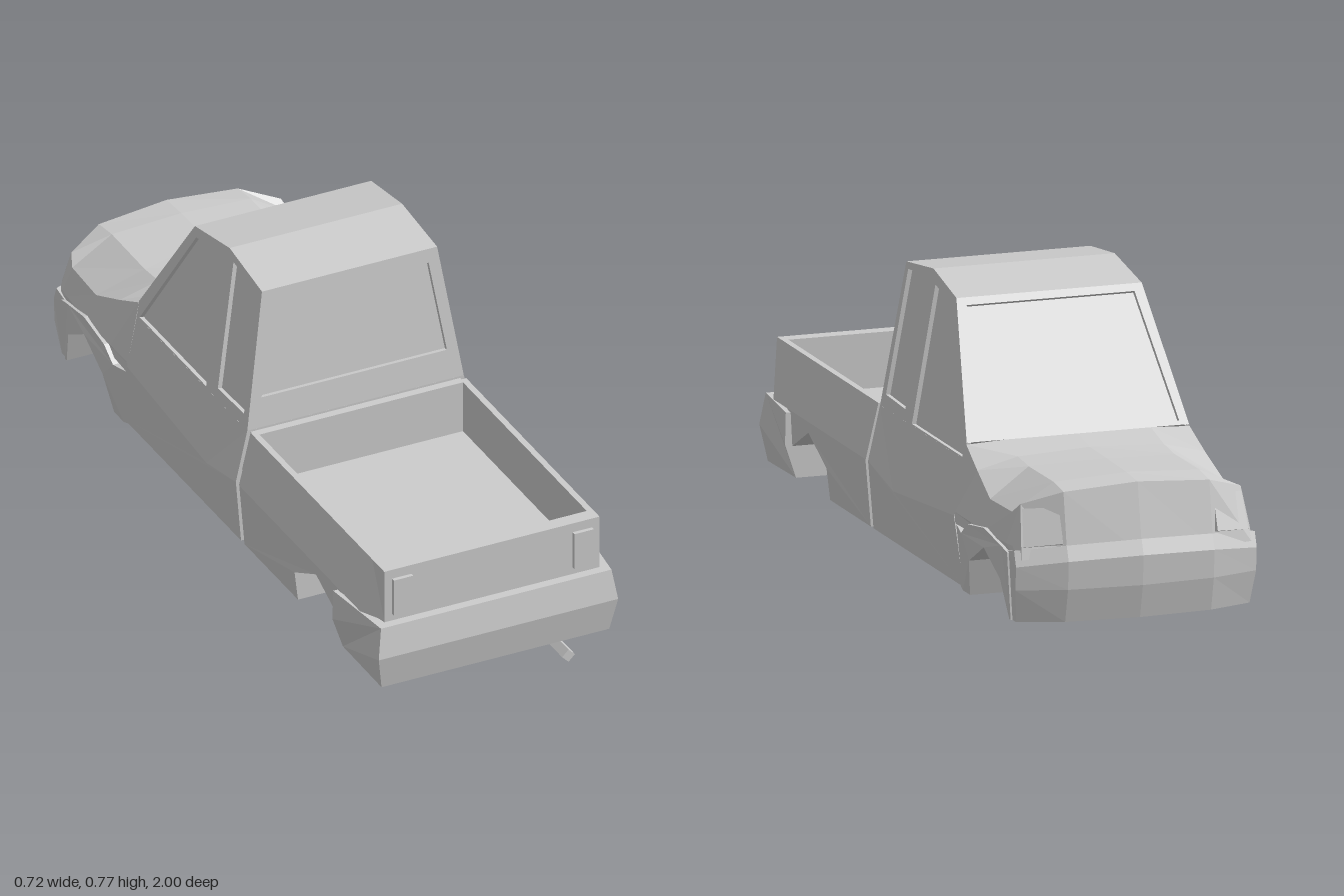
import * as THREE from 'three';

const material = new THREE.MeshStandardMaterial({ color: 0xcccccc, flatShading: true, side: THREE.DoubleSide });
const V = (x, y, z) => new THREE.Vector3(x, y, z);

function mesh(name, geometry) {
  const m = new THREE.Mesh(geometry, material);
  m.name = name;
  return m;
}

// Loft symmetric about x = 0: half-sections run from the middle outwards, points are [z, y, x]
function mirrorLoft(half) {
  const inner = half[0][0][2] === 0 ? half.slice(1) : half;
  let sections = [
    ...inner.slice().reverse().map(s => s.map(([z, y, x]) => V(-x, y, z))),
    ...half.map(s => s.map(([z, y, x]) => V(x, y, z))),
  ];
  const flat = s => s.map(p => new THREE.Vector2(-p.z, p.y));
  if (THREE.ShapeUtils.area(flat(sections[inner.length])) < 0) sections = sections.map(s => s.slice().reverse());
  const pos = [];
  const tri = (...pts) => pts.forEach(p => pos.push(p.x, p.y, p.z));
  for (let s = 0; s + 1 < sections.length; s++) {
    const a = sections[s], b = sections[s + 1];
    a.forEach((p, i) => {
      const j = (i + 1) % a.length;
      tri(p, a[j], b[j]);
      tri(p, b[j], b[i]);
    });
  }
  const first = sections[0], last = sections[sections.length - 1];
  for (const [i, j, k] of THREE.ShapeUtils.triangulateShape(flat(last), [])) {
    tri(last[i], last[j], last[k]);
    tri(first[i], first[k], first[j]);
  }
  const g = new THREE.BufferGeometry();
  g.setAttribute('position', new THREE.Float32BufferAttribute(pos, 3));
  g.computeVertexNormals();
  return g;
}
const slab = (name, pts) => mesh(name, mirrorLoft([pts]));

// Flat panel through 3D corners, with window openings and glass set back by its depth
function panel(name, outer, holes, outward, depth = 0.012, lift = 0) {
  const u = outer[1].clone().sub(outer[0]).normalize();
  const n = u.clone().cross(outer[2].clone().sub(outer[0])).normalize();
  if (n.dot(outward) < 0) n.negate();
  const v = n.clone().cross(u);
  const to2D = pts => pts.map(p => {
    const d = p.clone().sub(outer[0]);
    return new THREE.Vector2(d.dot(u), d.dot(v));
  });
  const place = new THREE.Matrix4().makeBasis(u, v, n)
    .setPosition(outer[0].clone().addScaledVector(n, lift - depth));
  const shape = new THREE.Shape(to2D(outer));
  shape.holes = holes.map(h => new THREE.Path(to2D(h)));
  const group = new THREE.Group();
  group.name = name;
  group.add(mesh(name + 'Frame', new THREE.ExtrudeGeometry(shape, { depth, bevelEnabled: false }).applyMatrix4(place)));
  for (const h of holes) {
    group.add(mesh(name + 'Glass', new THREE.ShapeGeometry(new THREE.Shape(to2D(h))).applyMatrix4(place)));
  }
  return group;
}

function box(name, w, h, d, x, y, z) {
  const m = mesh(name, new THREE.BoxGeometry(w, h, d));
  m.position.set(x, y, z);
  return m;
}

function createCab() {
  const cab = new THREE.Group();
  cab.name = 'cab';
  const sideX = y => 0.312 - 0.155 * (y - 0.365);
  // Doors and rocker
  cab.add(slab('lowerDoors', [[0.14, 0.04, 0.33], [0.14, 0.22, 0.345], [-0.04, 0.18, 0.341], [-0.5, 0.22, 0.34], [-0.545, 0.04, 0.33]]));
  cab.add(slab('upperDoors', [[0.14, 0.22, 0.345], [0.14, 0.366, 0.312], [-0.5, 0.366, 0.312], [-0.5, 0.22, 0.34], [-0.04, 0.18, 0.341]]));
  // Sides with two windows each
  const profile = [[0.14, 0.365], [0.105, 0.75], [-0.09, 0.775], [-0.28, 0.74], [-0.5, 0.41], [-0.5, 0.365]];
  const quarter = [[0.11, 0.4], [0.085, 0.735], [-0.06, 0.75], [-0.04, 0.395]];
  const door = [[-0.1, 0.37], [-0.12, 0.74], [-0.265, 0.715], [-0.485, 0.37]];
  for (const s of [1, -1]) {
    const lift = pts => pts.map(([z, y]) => V(s * sideX(y), y, z));
    cab.add(panel(s > 0 ? 'leftCabSide' : 'rightCabSide', lift(profile), [lift(quarter), lift(door)], V(s, 0, 0)));
  }
  // End panels, each with one window; edges given as [y, z, x]
  const quad = ([y0, z0, x0], [y1, z1, x1]) => [V(-x0, y0, z0), V(x0, y0, z0), V(x1, y1, z1), V(-x1, y1, z1)];
  cab.add(panel('windshield', quad([0.41, -0.5, 0.305], [0.74, -0.28, 0.254]),
    [quad([0.42, -0.4933, 0.28], [0.722, -0.292, 0.23])], V(0, 0, -1)));
  cab.add(panel('bedSideWindow', quad([0.365, 0.14, 0.312], [0.75, 0.105, 0.252]),
    [quad([0.45, 0.1323, 0.267], [0.711, 0.1085, 0.226])], V(0, 0, 1)));
  // Ridged roof
  const top = profile.slice(1, 4);
  cab.add(slab('roof', [...top.map(([z, y]) => [z, y, sideX(y)]),
    ...top.slice().reverse().map(([z, y]) => [z * 0.93, y - 0.02, sideX(y) - 0.004])]));
  return cab;
}

function createBed() {
  const bed = new THREE.Group();
  bed.name = 'cargoBed';
  // Lower shell with wheel tunnel
  bed.add(slab('bedLower', [[0.16, 0.04, 0.33], [0.16, 0.22, 0.345], [0.74, 0.22, 0.345], [0.93, 0.22, 0.31], [0.93, 0.04, 0.31],
    [0.73, 0.04, 0.33], [0.73, 0.125, 0.34], [0.6, 0.19, 0.343], [0.47, 0.125, 0.34], [0.47, 0.04, 0.33]]));
  // Tray walls, flared outwards at the base
  const outline = [[0.31, 0.158], [0.31, 0.86], [0.31, 0.93], [-0.31, 0.93], [-0.31, 0.86], [-0.31, 0.158]];
  const shape = new THREE.Shape(outline.map(([x, z]) => new THREE.Vector2(x, -z)));
  shape.holes.push(new THREE.Path([[-0.293, 0.173], [0.293, 0.173], [0.293, 0.89], [-0.293, 0.89]]
    .map(([x, z]) => new THREE.Vector2(x, -z))));
  const walls = new THREE.ExtrudeGeometry(shape, { depth: 0.147, bevelEnabled: false }).rotateX(-Math.PI / 2).translate(0, 0.22, 0);
  const p = walls.attributes.position;
  for (let i = 0; i < p.count; i++) {
    const x = p.getX(i);
    if (p.getY(i) < 0.23 && Math.abs(x) > 0.3 && p.getZ(i) < 0.9) p.setX(i, Math.sign(x) * 0.345);
  }
  walls.computeVertexNormals();
  bed.add(mesh('bedWalls', walls));
  // Recessed seam to the cab
  bed.add(slab('cabSeam', [[0.13, 0.045, 0.32], [0.13, 0.22, 0.335], [0.13, 0.36, 0.302], [0.17, 0.36, 0.302], [0.17, 0.22, 0.335], [0.17, 0.045, 0.32]]));
  bed.add(slab('bedBumper', [[0.73, 0.04, 0.33], [0.73, 0.13, 0.36], [0.73, 0.215, 0.358],
    [0.955, 0.215, 0.332], [0.968, 0.13, 0.345], [0.95, 0.035, 0.328]]));
  for (const s of [1, -1]) bed.add(box('tailLight', 0.056, 0.105, 0.02, s * 0.26, 0.288, 0.931));
  // Square exhaust turned on its corner
  const pipe = box('exhaust', 0.026, 0.026, 0.12, 0.186, 0.019, 0.94);
  pipe.rotation.z = Math.PI / 4;
  bed.add(pipe);
  return bed;
}

function createNose() {
  const nose = new THREE.Group();
  nose.name = 'nose';
  // Hood sections: middle, bulge edge, fender crest, fender side
  nose.add(mesh('hood', mirrorLoft([
    [[-0.5, 0.2, 0], [-0.5, 0.41, 0], [-0.59, 0.395, 0], [-0.72, 0.394, 0], [-0.87, 0.392, 0], [-0.955, 0.386, 0], [-0.99, 0.2, 0]],
    [[-0.5, 0.2, 0.2], [-0.5, 0.41, 0.2], [-0.6, 0.388, 0.2], [-0.68, 0.38, 0.2], [-0.87, 0.382, 0.2], [-0.945, 0.372, 0.2], [-0.975, 0.2, 0.2]],
    [[-0.5, 0.2, 0.3], [-0.5, 0.405, 0.306], [-0.6, 0.36, 0.312], [-0.72, 0.312, 0.32], [-0.87, 0.312, 0.314], [-0.9, 0.338, 0.302], [-0.945, 0.2, 0.315]],
    [[-0.5, 0.2, 0.338], [-0.5, 0.23, 0.338], [-0.6, 0.23, 0.338], [-0.72, 0.23, 0.338], [-0.87, 0.23, 0.33], [-0.905, 0.23, 0.325], [-0.93, 0.2, 0.322]],
  ])));
  // Flared wheel arches
  nose.add(slab('frontFenders', [[-0.5, 0.04, 0.325], [-0.5, 0.2, 0.335], [-0.57, 0.19, 0.346], [-0.62, 0.225, 0.347], [-0.74, 0.242, 0.345],
    [-0.85, 0.22, 0.338], [-0.89, 0.21, 0.335], [-0.89, 0.03, 0.325], [-0.88, 0.03, 0.325], [-0.845, 0.13, 0.338],
    [-0.74, 0.19, 0.345], [-0.63, 0.13, 0.346], [-0.595, 0.03, 0.33], [-0.54, 0.03, 0.33]]));
  // Bowed bumper
  const bumper = (x, front, top) => [[-0.88, 0.03, x - 0.01 * (x > 0.3)], [-0.88, top - 0.01, x], [front + 0.015, top, x],
    [front, top - 0.04, x], [front + 0.005, 0.12, x], [front + 0.027, 0.03, x - 0.01 * (x > 0.3)]];
  nose.add(mesh('noseBumper', mirrorLoft([bumper(0, -1, 0.24), bumper(0.2, -0.985, 0.235), bumper(0.33, -0.945, 0.222)])));
  for (const s of [1, -1]) {
    nose.add(panel('headlight', [V(s * 0.21, 0.24, -0.971), V(s * 0.306, 0.23, -0.936), V(s * 0.298, 0.325, -0.903), V(s * 0.215, 0.335, -0.95)],
      [], V(0, 0, -1), 0.02, 0.006));
  }
  return nose;
}

export function createModel() {
  const model = new THREE.Group();
  model.name = 'pickupBody';
  model.add(createCab(), createBed(), createNose());
  return model;
}
